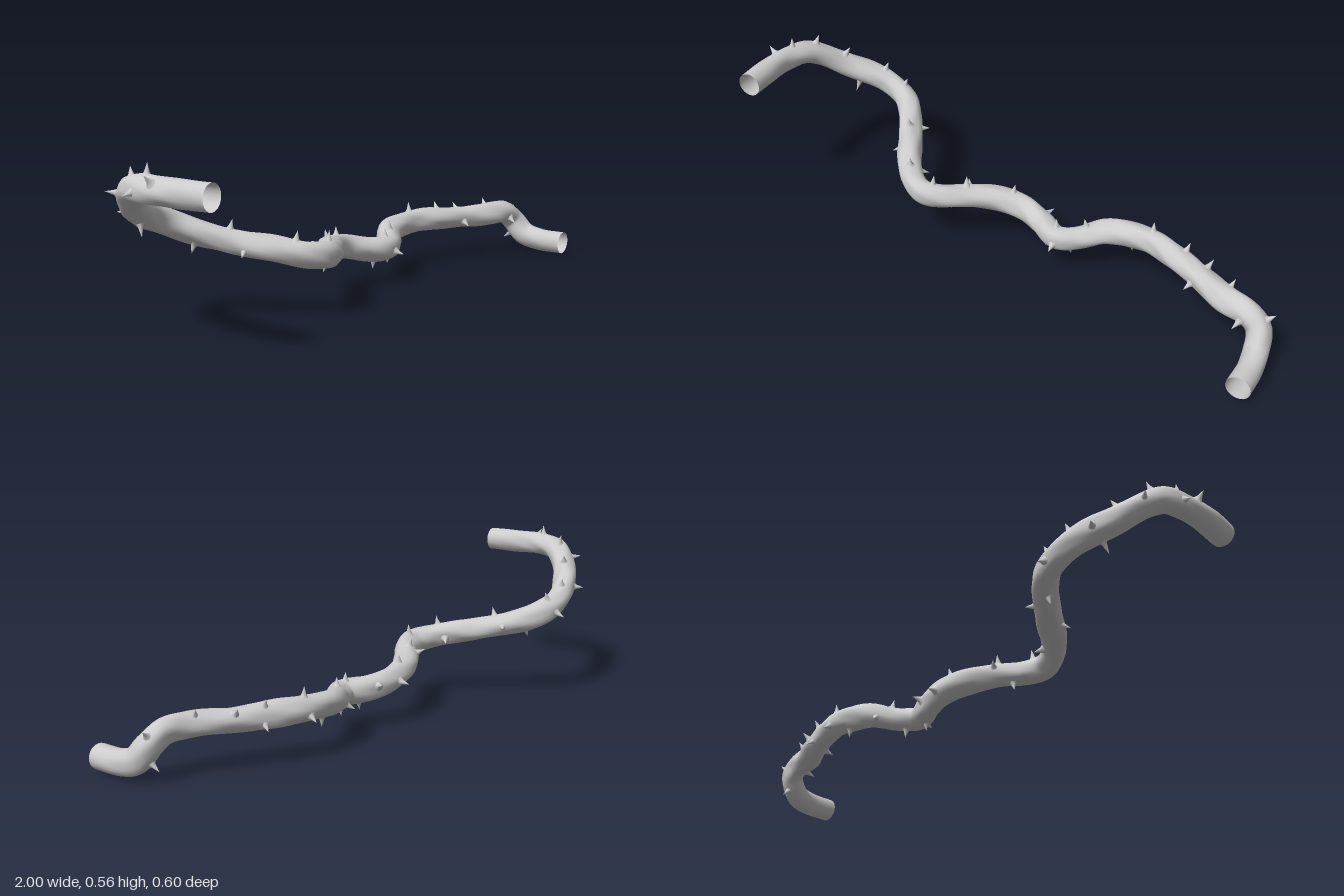
import * as THREE from 'three';
import { mergeVertices } from 'three/addons/utils/BufferGeometryUtils.js';

const material = new THREE.MeshStandardMaterial({ color: 0xcccccc, side: THREE.DoubleSide });

// Centre line of the stem, from its high right end to its low left end
const path = new THREE.CatmullRomCurve3([
  [-0.935, 0.485, 0.24], [-0.945, 0.485, 0.14], [-0.947, 0.485, 0.04], [-0.925, 0.478, -0.06],
  [-0.89, 0.45, -0.115], [-0.81, 0.39, -0.185], [-0.69, 0.337, -0.235], [-0.6, 0.297, -0.215],
  [-0.5, 0.25, -0.09], [-0.42, 0.225, 0.03], [-0.36, 0.208, 0.095], [-0.3, 0.197, 0.12],
  [-0.235, 0.187, 0.095], [-0.155, 0.178, 0.03], [-0.075, 0.165, -0.02], [0.015, 0.147, -0.037],
  [0.095, 0.13, -0.012], [0.175, 0.125, 0.025], [0.245, 0.13, -0.012], [0.31, 0.145, -0.062],
  [0.39, 0.152, -0.085], [0.485, 0.156, -0.08], [0.59, 0.155, -0.04], [0.7, 0.152, 0.01],
  [0.81, 0.153, 0.067], [0.885, 0.148, 0.085], [0.928, 0.115, 0.095], [0.945, 0.063, 0.135],
  [0.955, 0.045, 0.2], [0.957, 0.042, 0.3],
].map(p => new THREE.Vector3(...p)));

// Rough positions of the thorn tips
const tips = [
  [-0.995, 0.53, 0.05], [-0.998, 0.47, -0.03], [-0.935, 0.56, 0.0], [-0.9, 0.535, -0.105],
  [-0.94, 0.46, -0.17], [-0.823, 0.465, -0.17], [-0.8, 0.37, -0.25], [-0.8, 0.3, -0.17],
  [-0.7, 0.415, -0.245], [-0.635, 0.29, -0.3], [-0.61, 0.375, -0.235], [-0.58, 0.22, -0.18],
  [-0.5, 0.32, -0.083], [-0.47, 0.255, -0.15], [-0.53, 0.21, -0.02], [-0.38, 0.285, 0.08],
  [-0.36, 0.2, 0.02], [-0.26, 0.27, 0.11], [-0.19, 0.2, 0.0], [-0.225, 0.125, 0.06],
  [-0.18, 0.25, 0.03], [-0.03, 0.22, -0.04], [0.0, 0.14, -0.11], [0.1, 0.15, -0.075],
  [0.12, 0.06, 0.005], [0.17, 0.195, 0.02], [0.18, 0.11, 0.09], [0.215, 0.065, 0.0],
  [0.255, 0.195, -0.02], [0.27, 0.12, -0.09], [0.4, 0.09, -0.09], [0.475, 0.23, -0.09],
  [0.48, 0.125, -0.145], [0.615, 0.21, -0.065], [0.63, 0.12, -0.09], [0.66, 0.13, 0.055],
  [0.71, 0.2, -0.045], [0.81, 0.2, 0.03], [0.86, 0.115, 0.145], [0.965, 0.16, 0.075],
  [0.93, 0.04, 0.055],
].map(p => new THREE.Vector3(...p));

// Round tube with gnarled bark that fades to clean cut ends
function makeStem() {
  const segments = 220, sides = 20;
  const geo = new THREE.TubeGeometry(path, segments, 0.041, sides, false);
  const pos = geo.attributes.position, v = new THREE.Vector3();
  for (let i = 0; i <= segments; i++) {
    const u = i / segments, centre = path.getPointAt(u);
    const fade = Math.min(1, Math.min(u, 1 - u) * 14);
    for (let j = 0; j <= sides; j++) {
      const k = i * (sides + 1) + j, a = (j % sides) / sides * Math.PI * 2;
      const bump = 0.05 * Math.sin(2 * a + 38 * u) + 0.04 * Math.sin(3 * a - 61 * u)
        + 0.03 * Math.sin(5 * a + 97 * u) + 0.03 * Math.sin(75 * u);
      v.fromBufferAttribute(pos, k).sub(centre).multiplyScalar(1 + bump * fade).add(centre);
      pos.setXYZ(k, v.x, v.y, v.z);
    }
  }
  geo.deleteAttribute('uv');
  geo.deleteAttribute('normal');
  const welded = mergeVertices(geo, 1e-5);
  welded.computeVertexNormals();
  return new THREE.Mesh(welded, material);
}

// Slender spike with a flared foot
const thornGeometry = new THREE.LatheGeometry([
  [0.024, 0], [0.016, 0.16], [0.01, 0.36], [0.006, 0.62], [0.0, 1],
].map(p => new THREE.Vector2(...p)), 9);

export function createModel() {
  const group = new THREE.Group();
  group.name = 'thornyVine';

  const stem = makeStem();
  stem.name = 'stem';
  group.add(stem);

  const thorns = new THREE.Group();
  thorns.name = 'thorns';
  const samples = path.getSpacedPoints(500);
  for (const tip of tips) {
    // Each thorn grows outward from the nearest point of the centre line
    let base = samples[0];
    for (const s of samples) if (s.distanceToSquared(tip) < base.distanceToSquared(tip)) base = s;
    const out = tip.clone().sub(base);
    const reach = THREE.MathUtils.clamp(out.length(), 0.07, 0.083);
    out.normalize();
    const thorn = new THREE.Mesh(thornGeometry, material);
    thorn.name = 'thorn';
    thorn.position.copy(base).addScaledVector(out, 0.033);
    thorn.quaternion.setFromUnitVectors(new THREE.Vector3(0, 1, 0), out);
    thorn.scale.set(0.8, reach - 0.033, 0.8);
    thorns.add(thorn);
  }
  group.add(thorns);
  return group;
}
